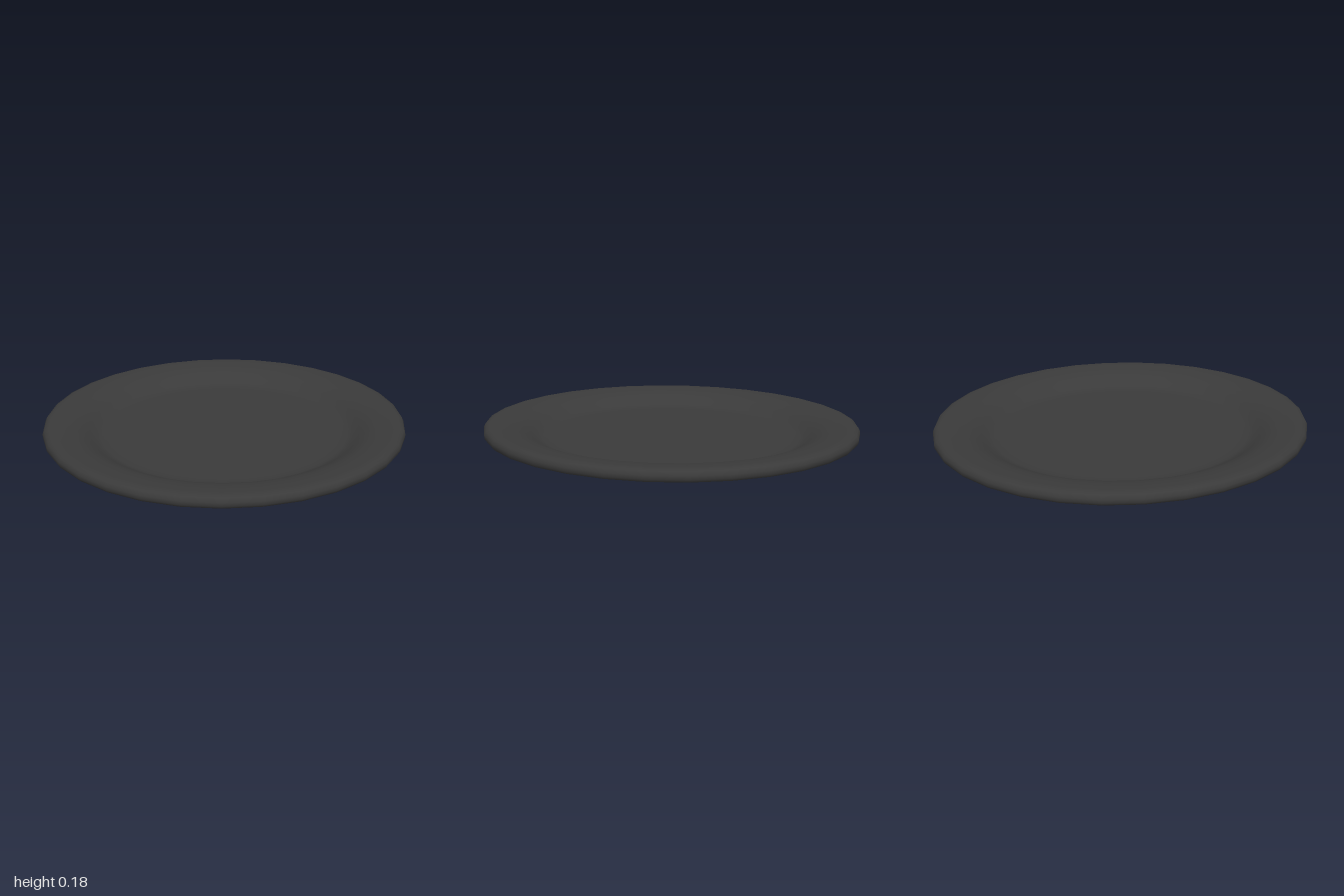
import * as THREE from 'three';

export function createModel() {
  const group = new THREE.Group();
  const material = new THREE.MeshStandardMaterial({ color: 0x3a3a3a });

  // Cross-section: underside from the centre out, round the lip, back over the top
  const profile = [
    [0, 0], [0.4, 0.004], [0.58, 0.014], [0.65, 0.03], [0.7, 0.06], [0.75, 0.09], [0.8, 0.105],
    [0.88, 0.109], [0.96, 0.114], [0.99, 0.121], [1, 0.135], [1, 0.153], [0.99, 0.172],
    [0.97, 0.179], [0.94, 0.179], [0.88, 0.174], [0.83, 0.166], [0.79, 0.153], [0.75, 0.133],
    [0.715, 0.112], [0.685, 0.103], [0.64, 0.1], [0.4, 0.098], [0, 0.097],
  ].map(([r, y]) => new THREE.Vector2(r, y));
  const plateGeometry = new THREE.LatheGeometry(profile, 32);

  // Hand-made oval outline, longest towards the back left and front right
  const oval = new THREE.Matrix4().set(
    0.96, 0, -0.015, 0,
    0, 1, 0, 0,
    -0.015, 0, 1, 0,
    0, 0, 0, 1,
  );
  plateGeometry.applyMatrix4(oval);

  const plate = new THREE.Mesh(plateGeometry, material);
  plate.name = 'plate';
  group.add(plate);
  return group;
}
